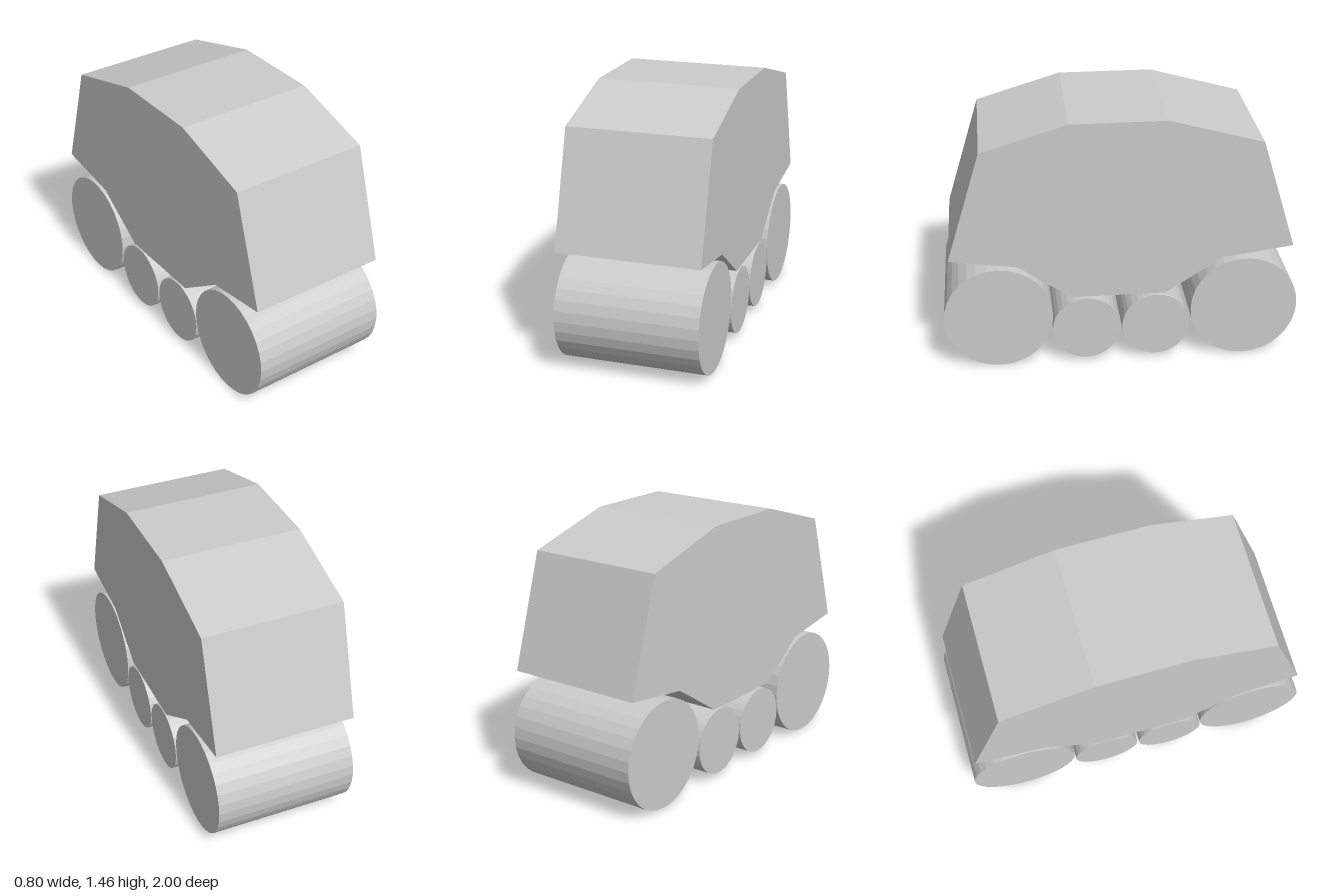
import * as THREE from 'three';

const WIDTH = 0.8;

export function createModel() {
  const model = new THREE.Group();
  const material = new THREE.MeshStandardMaterial({ color: 0xcccccc, flatShading: true });

  const add = (name, geometry, y = 0, z = 0) => {
    const mesh = new THREE.Mesh(geometry, material);
    mesh.name = name;
    mesh.position.set(0, y, z);
    model.add(mesh);
  };

  // Body: side profile as [z, y], extruded across the width
  const profile = [
    [0.285, 1.46], [-0.245, 1.46], [-0.768, 1.315], [-0.96, 0.683], [-0.56, 0.628],
    [-0.245, 0.422], [0.285, 0.422], [0.58, 0.628], [0.957, 0.683], [0.765, 1.315],
  ];
  const shape = new THREE.Shape(profile.map(([z, y]) => new THREE.Vector2(-z, y)));
  const body = new THREE.ExtrudeGeometry(shape, { depth: WIDTH, bevelEnabled: false });
  body.translate(0, 0, -WIDTH / 2).rotateY(Math.PI / 2);
  add('body', body);

  // Rollers: two large outer ones and two small inner ones
  const rollers = [
    ['frontRoller', 0.305, 0.309, 0.695],
    ['frontInnerRoller', 0.191, 0.217, 0.202],
    ['rearInnerRoller', 0.191, 0.219, -0.192],
    ['rearRoller', 0.305, 0.308, -0.695],
  ];
  for (const [name, radius, y, z] of rollers) {
    const roller = new THREE.CylinderGeometry(radius, radius, WIDTH, 32).rotateZ(Math.PI / 2);
    add(name, roller, y, z);
  }

  return model;
}
